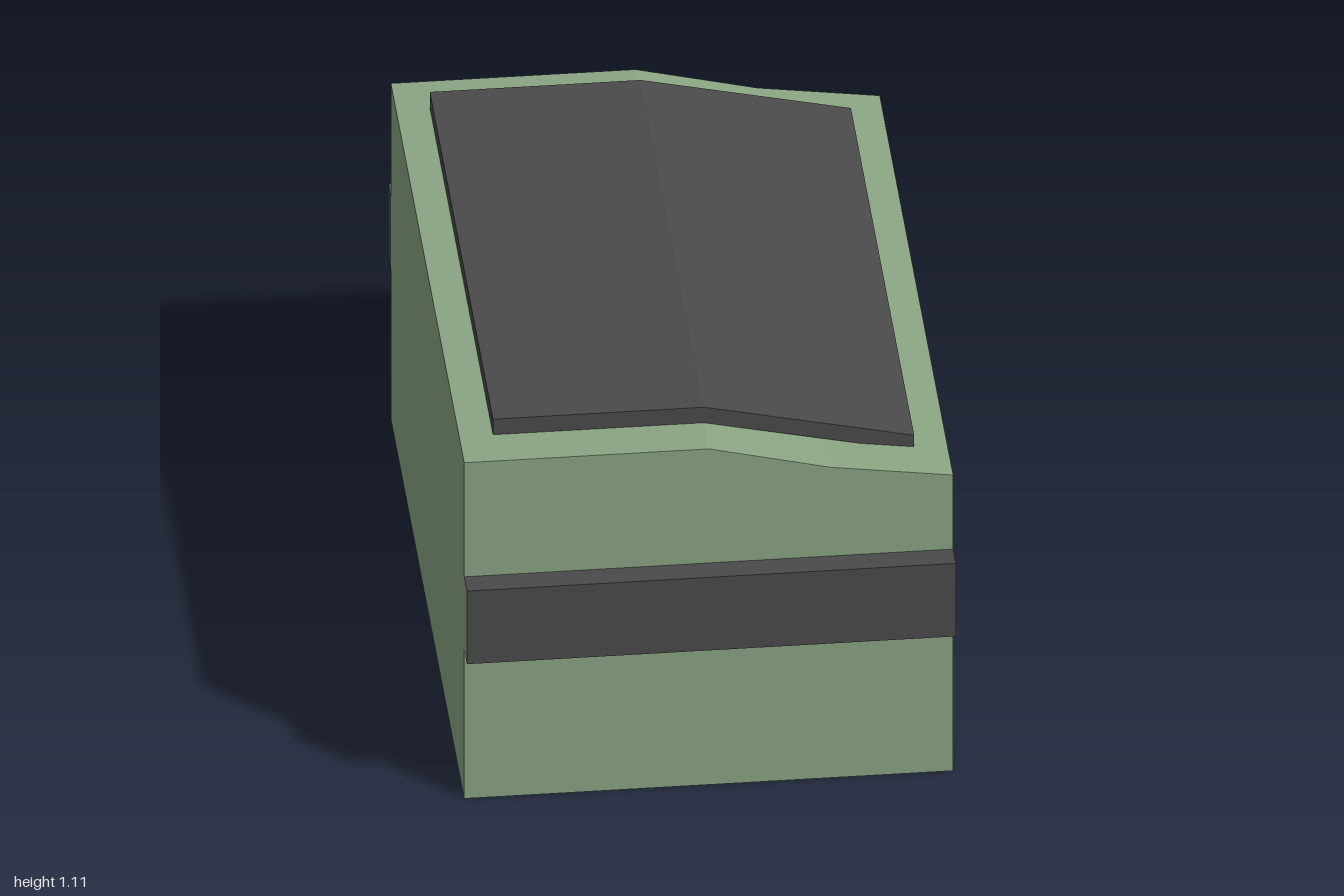
import * as THREE from 'three';

const green = new THREE.MeshStandardMaterial({ color: 0x8aa583, flatShading: true });
const dark = new THREE.MeshStandardMaterial({ color: 0x4a4a4a, flatShading: true });

// Extrude an x-y profile along z, centred on z = 0
function prism(name, points, depth, material) {
  const shape = new THREE.Shape(points.map(([x, y]) => new THREE.Vector2(x, y)));
  const geometry = new THREE.ExtrudeGeometry(shape, { depth, bevelEnabled: false });
  geometry.translate(0, 0, -depth / 2);
  const mesh = new THREE.Mesh(geometry, material);
  mesh.name = name;
  return mesh;
}

// Horizontal rail across one end of the bin
function rail(name, z, endMaterial) {
  const mesh = new THREE.Mesh(
    new THREE.BoxGeometry(1.3, 0.23, 0.07),
    [endMaterial, endMaterial, dark, dark, dark, dark]
  );
  mesh.position.set(0, 0.583, z);
  mesh.name = name;
  return mesh;
}

export function createModel() {
  const group = new THREE.Group();
  group.name = 'wasteContainer';

  // Bin with a flat half and a slightly sagging sloped half
  group.add(prism('body', [
    [-0.65, 0], [0.65, 0], [0.65, 0.931], [0.325, 0.977], [0, 1.057], [-0.65, 1.057],
  ], 1.86, green));

  // Folded lid of constant thickness
  group.add(prism('lid', [
    [-0.56, 1.057], [0, 1.057], [0.56, 0.932], [0.56, 0.98], [0, 1.106], [-0.56, 1.106],
  ], 1.604, dark));

  // The front rail has body-coloured ends
  group.add(rail('frontRail', 0.965, green));
  group.add(rail('backRail', -0.965, dark));

  return group;
}
